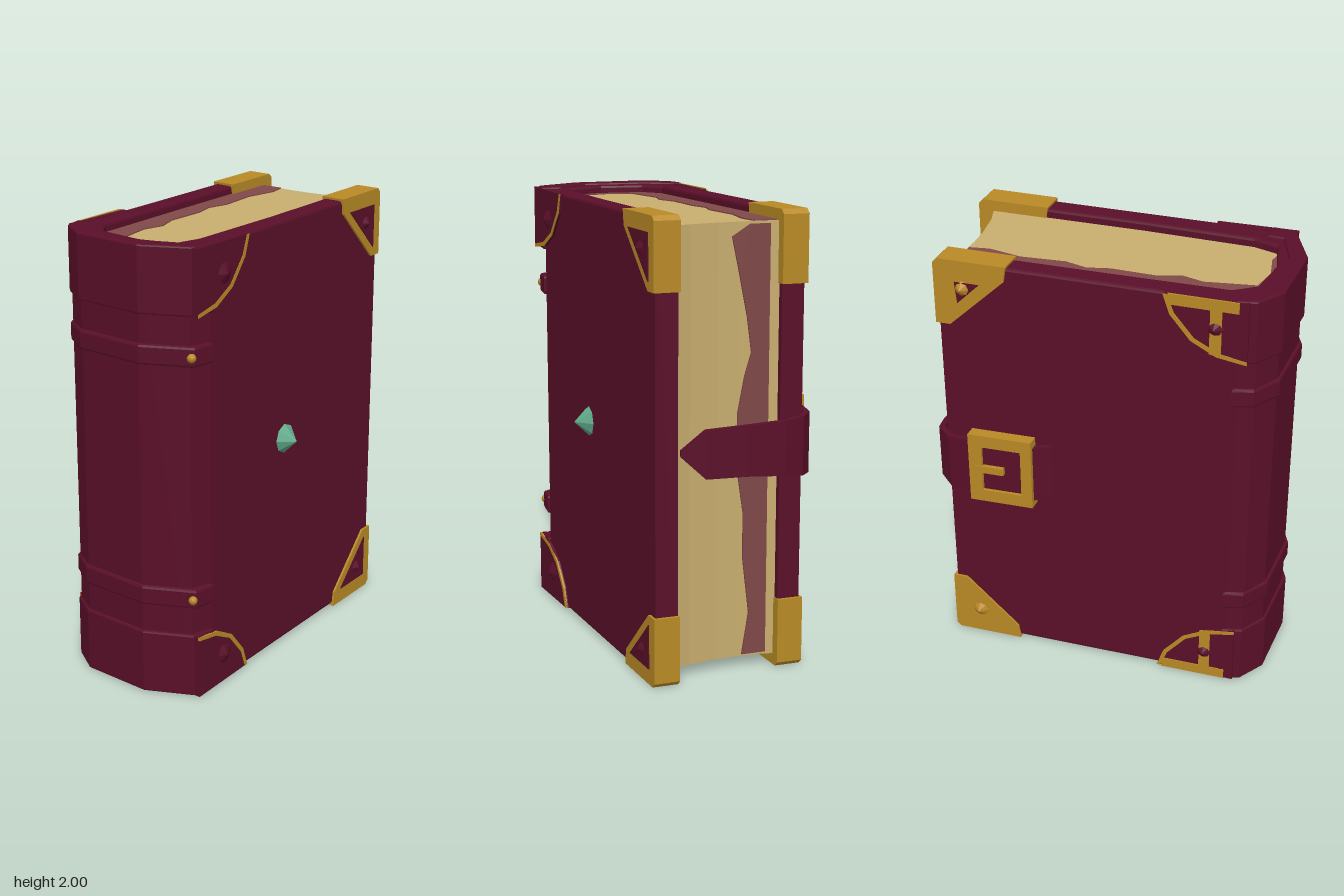
import * as THREE from 'three';

const paint = (name, hex) => {
  const m = new THREE.MeshStandardMaterial({ color: hex });
  m.name = name;
  return m;
};

export function createModel() {
  const book = new THREE.Group();
  book.name = 'book';
  const leather = paint('burgundy leather', 0x5a0f29);
  const paper = paint('paper', 0xc8ad6e);
  const paperShade = paint('stained paper', 0x804848);
  const gold = paint('gold', 0xb98a26);
  const jade = paint('green gem', 0x5fa88a);

  const add = (name, geo, mat) => {
    const mesh = new THREE.Mesh(geo, mat);
    mesh.name = name;
    book.add(mesh);
    return mesh;
  };
  const toShape = pts => new THREE.Shape(pts.map(([x, y]) => new THREE.Vector2(x, y)));

  // Horizontal outline in (x, z), extruded upwards from y0 to y1
  const slab = (name, pts, y0, y1, mat, bevel = 0) => {
    const geo = new THREE.ExtrudeGeometry(toShape(pts.map(([x, z]) => [x, -z])), {
      depth: y1 - y0 - 2 * bevel, bevelEnabled: bevel > 0, bevelThickness: bevel,
      bevelSize: bevel, bevelOffset: -bevel, bevelSegments: 2,
    });
    geo.rotateX(-Math.PI / 2).translate(0, y0 + bevel, 0);
    return add(name, geo, mat);
  };

  // Upright outline in (x, y), extruded from z0 to z1 relative to a slanted surface
  const plate = (name, shape, z0, z1, surface, mat) => {
    const geo = new THREE.ExtrudeGeometry(shape, { depth: z1 - z0, bevelEnabled: false });
    const p = geo.attributes.position;
    for (let i = 0; i < p.count; i++) p.setZ(i, p.getZ(i) + z0 + surface(p.getX(i)));
    geo.computeVertexNormals();
    return add(name, geo, mat);
  };
  const frontZ = x => 0.368 - 0.076 * x;
  const backZ = x => -0.316 - 0.079 * x;

  // Low pointed stud on either cover
  const stud = (name, x, y, front, r, h, mat) => {
    const geo = new THREE.ConeGeometry(r, h, 8).toNonIndexed();
    geo.computeVertexNormals();
    geo.rotateX(front ? Math.PI / 2 : -Math.PI / 2);
    const z = front ? frontZ(x) + h / 2 : backZ(x) - h / 2;
    add(name, geo, mat).position.set(x, y, z);
  };

  // Cover: both boards and the spine in one wrapped outline
  slab('cover', [
    [0.75, 0.31], [-0.3, 0.391], [-0.55, 0.408], [-0.65, 0.38], [-0.752, 0.19], [-0.752, -0.13],
    [-0.69, -0.24], [-0.62, -0.267], [-0.2, -0.3], [0.45, -0.352], [0.69, -0.37],
    [0.69, -0.27], [0.42, -0.255], [0, -0.22], [-0.55, -0.17], [-0.64, -0.1], [-0.66, 0.1],
    [-0.61, 0.27], [-0.5, 0.295], [0, 0.27], [0.75, 0.21],
  ], 0.01, 1.99, leather, 0.012);

  // Page block with a hollow fore edge
  slab('pages', [
    [0.7, 0.222], [0.67, 0.13], [0.65, 0], [0.645, -0.1], [0.65, -0.2], [0.665, -0.275],
    [0.42, -0.265], [0, -0.23], [-0.55, -0.18], [-0.65, -0.11], [-0.67, 0.1],
    [-0.62, 0.28], [-0.5, 0.3], [0, 0.28],
  ], 0.05, 1.95, paper);

  // Stained margin on top of the pages, with a ragged edge
  const topStain = [
    [0.64, -0.26], [0.42, -0.26], [0, -0.22], [-0.55, -0.17], [-0.64, -0.1], [-0.66, 0.1], [-0.62, 0.25],
    [-0.61, 0.2], [-0.64, 0.08], [-0.62, -0.04], [-0.53, -0.06], [-0.4, -0.09], [-0.3, -0.07],
    [-0.2, -0.11], [0, -0.12], [0.1, -0.15], [0.2, -0.13], [0.4, -0.16], [0.55, -0.14], [0.64, -0.16],
  ];
  slab('topStain', topStain, 1.948, 1.955, paperShade);

  // Stained margin down the fore edge
  const edgeStain = toShape([
    [-0.27, 0.06], [-0.27, 1.94], [-0.14, 1.94], [-0.06, 1.89], [-0.09, 1.75], [-0.13, 1.55], [-0.15, 1.4],
    [-0.12, 1.3], [-0.09, 1.14], [-0.09, 0.9], [-0.12, 0.7], [-0.12, 0.5], [-0.15, 0.25], [-0.12, 0.06],
  ]);
  const stainGeo = new THREE.ExtrudeGeometry(edgeStain, { depth: 0.008, bevelEnabled: false });
  stainGeo.rotateY(-Math.PI / 2).scale(1, 1, 1).translate(0.656, 0, 0);
  add('foreEdgeStain', stainGeo, paperShade);

  // Raised leather wrapped around the spine
  const spineWrap = [
    [-0.55, 0.42], [-0.655, 0.41], [-0.765, 0.2], [-0.765, -0.13], [-0.69, -0.255], [-0.6, -0.285],
    [-0.6, -0.23], [-0.67, -0.12], [-0.69, 0.17], [-0.62, 0.33], [-0.55, 0.33],
  ];
  for (const y of [0.46, 1.54]) {
    slab('spineBand', spineWrap, y - 0.045, y + 0.045, leather, 0.012);
    const dot = add('spineStud', new THREE.SphereGeometry(0.02, 8, 6), gold);
    dot.position.set(-0.665, y, 0.4);
  }

  for (const top of [true, false]) {
    const flip = pts => toShape(pts.map(([x, y]) => [x, top ? y : 2 - y]));
    const y = v => (top ? v : 2 - v);

    // Spine-side corner protectors
    slab('spineCap', spineWrap, top ? 1.71 : 0, top ? 2 : 0.29, leather, 0.008);
    const arc = [[-0.3, 1.99], [-0.33, 1.9], [-0.42, 1.79], [-0.53, 1.73], [-0.66, 1.71]];
    const rim = arc.concat([[-0.66, 1.725], [-0.54, 1.748], [-0.435, 1.803], [-0.348, 1.908], [-0.318, 1.99]]);
    const panel = flip(arc.concat([[-0.66, 1.995]]));
    plate('frontSpineCorner', panel, -0.02, 0.012, frontZ, leather);
    plate('frontSpineCornerRim', flip(rim), 0.005, 0.014, frontZ, gold);
    stud('frontSpineCornerStud', -0.48, y(1.86), true, 0.07, 0.035, leather);
    plate('backSpineCorner', panel, -0.014, 0.02, backZ, leather);
    plate('backSpineCornerRim', flip(rim), -0.018, -0.01, backZ, gold);
    plate('backCornerEdge', flip([[-0.32, 1.995], [-0.62, 1.995], [-0.62, 1.945], [-0.33, 1.945]]),
      -0.018, -0.01, backZ, gold);
    plate('backCornerBar', flip([[-0.5, 1.95], [-0.55, 1.95], [-0.55, 1.73], [-0.5, 1.74]]),
      -0.018, -0.01, backZ, gold);
    stud('backSpineCornerStud', -0.52, y(1.86), false, 0.06, 0.035, leather);

    // Gold fore-edge corners gripping the full board thickness
    const corner = [[0.44, 2], [0.745, 2], [0.765, 1.98], [0.765, 1.69], [0.7, 1.69], [0.45, 1.93]];
    plate('frontCorner', flip(corner), -0.105, 0.01, frontZ, gold);
    plate('frontCornerInlay', flip([[0.5, 1.93], [0.71, 1.93], [0.71, 1.73]]), 0.008, 0.014, frontZ, leather);
    stud('frontCornerStud', 0.635, y(1.86), true, 0.05, 0.035, leather);
    const shifted = corner.map(([x, v]) => [x - 0.06, v]);
    plate('backCorner', flip(shifted), -0.01, 0.105, backZ, gold);
    if (top) plate('backCornerInlay', flip([[0.5, 1.9], [0.61, 1.9], [0.6, 1.8]]), -0.014, -0.008, backZ, leather);
    stud('backCornerStud', 0.58, y(1.87), false, 0.05, 0.035, gold);
  }

  // Strap: box cross-sections [x, z, bottom, top] swept around the fore edge
  const path = [
    [0.2, -0.33, 0.87, 1.14], [0.28, -0.378, 0.86, 1.14], [0.56, -0.41, 0.86, 1.14],
    [0.66, -0.405, 0.86, 1.13], [0.73, -0.35, 0.87, 1.13], [0.745, -0.27, 0.88, 1.12],
    [0.738, -0.1, 0.89, 1.11], [0.725, 0.08, 0.89, 1.1], [0.71, 0.185, 0.99, 1.015],
  ];
  const verts = [], index = [];
  path.forEach(([x, z, y0, y1], i) => {
    const a = path[Math.max(i - 1, 0)], b = path[Math.min(i + 1, path.length - 1)];
    const len = Math.hypot(b[0] - a[0], b[1] - a[1]);
    const nx = (b[1] - a[1]) / len * 0.013, nz = -(b[0] - a[0]) / len * 0.013;
    verts.push(x + nx, y0, z + nz, x + nx, y1, z + nz, x - nx, y1, z - nz, x - nx, y0, z - nz);
    if (i === 0) return;
    const p = 4 * (i - 1), q = 4 * i;
    for (let k = 0; k < 4; k++) {
      const n = (k + 1) % 4;
      index.push(p + k, p + n, q + n, p + k, q + n, q + k);
    }
  });
  const e = 4 * (path.length - 1);
  index.push(0, 2, 1, 0, 3, 2, e, e + 1, e + 2, e, e + 2, e + 3);
  const indexed = new THREE.BufferGeometry();
  indexed.setAttribute('position', new THREE.Float32BufferAttribute(verts, 3));
  indexed.setIndex(index);
  const strapGeo = indexed.toNonIndexed();
  strapGeo.computeVertexNormals();
  add('strap', strapGeo, leather);

  // Buckle on the back cover
  const buckleZ = x => -0.352 - 0.11 * x;
  const frame = toShape([[0.27, 0.83], [0.56, 0.83], [0.56, 1.18], [0.27, 1.18]]);
  frame.holes.push(new THREE.Path([[0.32, 0.89], [0.32, 1.12], [0.5, 1.12], [0.5, 0.89]]
    .map(([x, y]) => new THREE.Vector2(x, y))));
  plate('buckleFrame', frame, -0.024, 0.03, buckleZ, gold);
  plate('bucklePin', toShape([[0.4, 0.985], [0.53, 0.985], [0.53, 1.02], [0.4, 1.02]]),
    -0.028, 0, buckleZ, gold);

  // Faceted gem on the front cover
  stud('gem', 0, 1, true, 0.068, 0.07, jade);

  return book;
}
